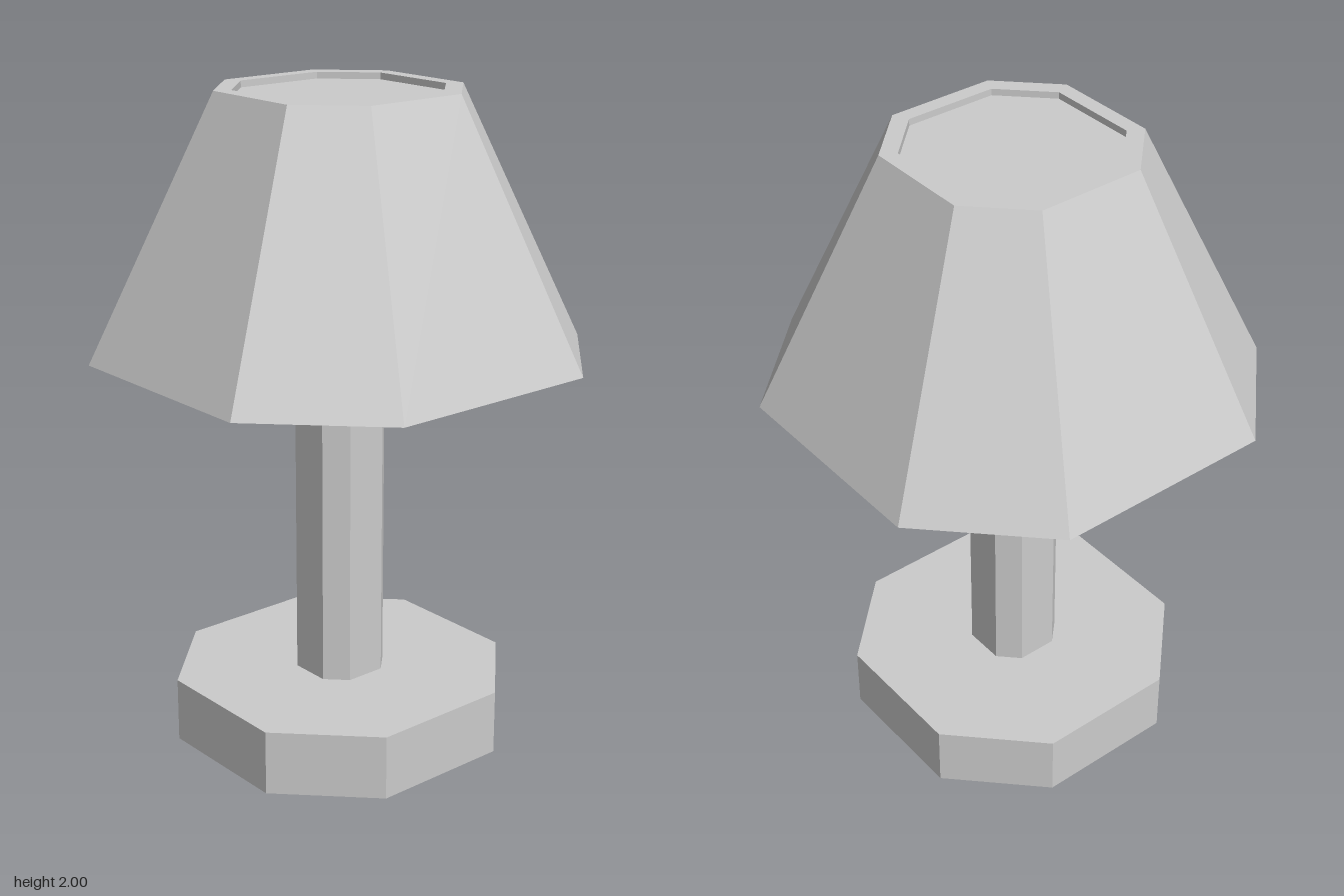
import * as THREE from 'three';

// Corners of a square with its corners cut off: half is the half width, flat the half length of the straight sides
function octagon(half, flat, y) {
  const a = half, b = flat;
  return [[b, a], [a, b], [a, -b], [b, -a], [-b, -a], [-a, -b], [-a, b], [-b, a]]
    .map(([x, z]) => new THREE.Vector3(x, y, z));
}

function mesh(name, points, side = THREE.FrontSide) {
  const geometry = new THREE.BufferGeometry().setFromPoints(points);
  geometry.computeVertexNormals();
  const material = new THREE.MeshStandardMaterial({ color: 0xcccccc, flatShading: true, side });
  const m = new THREE.Mesh(geometry, material);
  m.name = name;
  return m;
}

// Joins a stack of octagons, with optional flat ends
function loft(name, rings, { bottom = false, top = false, side } = {}) {
  const loops = rings.map((r) => octagon(...r));
  const points = [];
  for (let k = 0; k + 1 < loops.length; k++) {
    const lo = loops[k], hi = loops[k + 1];
    for (let i = 0; i < 8; i++) {
      const j = (i + 1) % 8;
      points.push(lo[i], lo[j], hi[j], lo[i], hi[j], hi[i]);
    }
  }
  const first = loops[0], last = loops[loops.length - 1];
  for (let i = 1; i < 7; i++) {
    if (bottom) points.push(first[0], first[i + 1], first[i]);
    if (top) points.push(last[0], last[i], last[i + 1]);
  }
  return mesh(name, points, side);
}

export function createModel() {
  const lamp = new THREE.Group();
  lamp.name = 'tableLamp';

  // Heavy foot and slim pole
  lamp.add(loft('base', [[0.47, 0.22, 0], [0.47, 0.22, 0.2]], { bottom: true, top: true }));
  lamp.add(loft('pole', [[0.122, 0.063, 0.2], [0.122, 0.063, 1.205]], { top: true }));

  // Open-bottomed shade with a rim and a shallow recess on top
  lamp.add(loft('shade', [
    [0.663, 0.34, 1.223],
    [0.325, 0.166, 2],
    [0.278, 0.143, 2],
    [0.278, 0.143, 1.98],
  ], { top: true, side: THREE.DoubleSide }));

  // Single flat panel bridging the pole top and the shade rim at the back corner
  const inner = octagon(0.122, 0.063, 1.205), outer = octagon(0.663, 0.34, 1.223);
  lamp.add(mesh('shadeBracket', [
    outer[2], outer[3], inner[3],
    outer[2], inner[3], inner[2],
  ]));

  return lamp;
}
